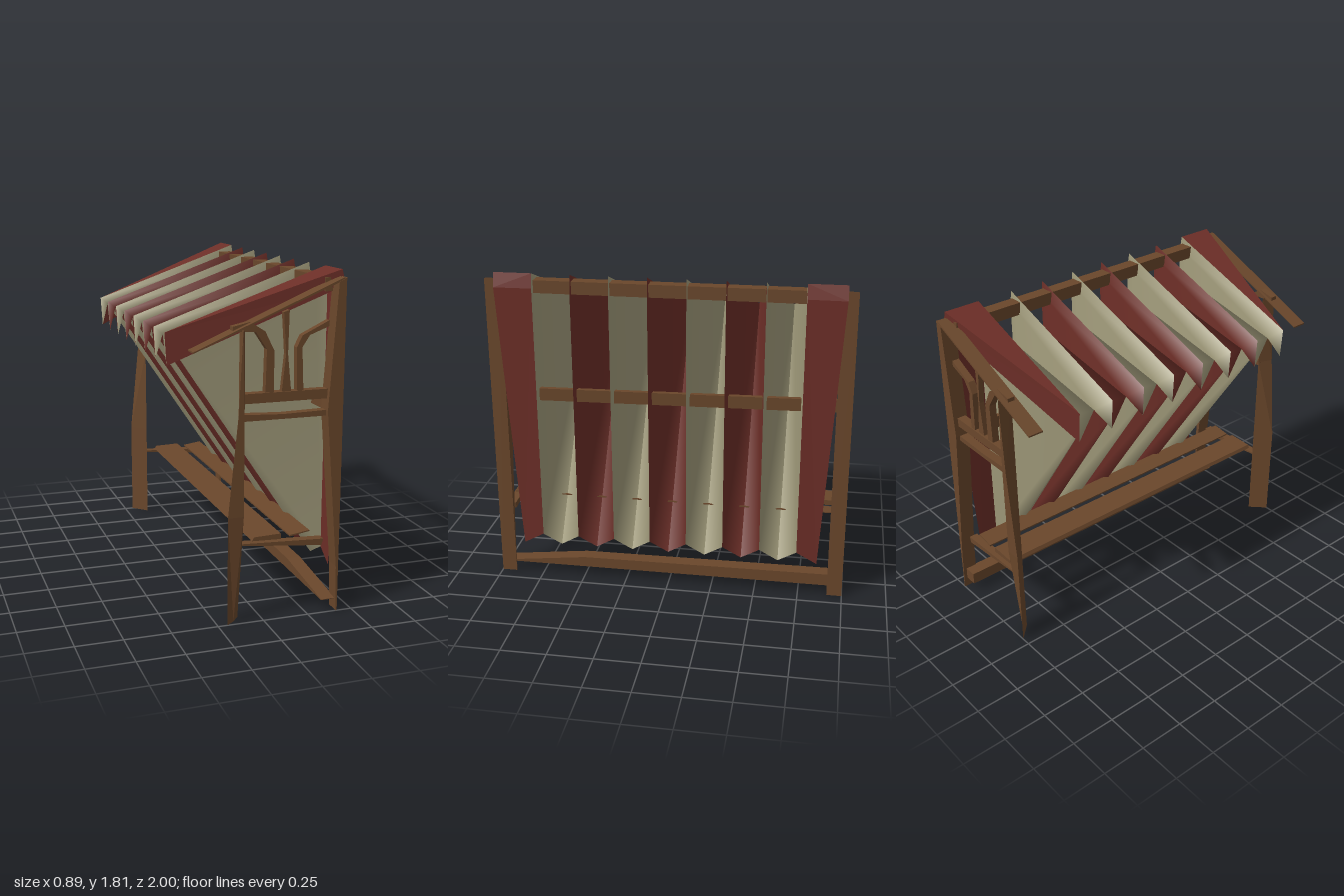
import * as THREE from 'three';

const mat = (color, flatShading) => new THREE.MeshStandardMaterial({ color, flatShading, side: THREE.DoubleSide });

export function createModel() {
  const model = new THREE.Group();
  const wood = mat(0x6a472b, true);
  const red = mat(0x6c2e27, false);
  const redFlat = mat(0x6c2e27, true);
  const cream = mat(0xa09a7a, false);

  const add = (name, geometry, material) => {
    const mesh = new THREE.Mesh(geometry, material);
    mesh.name = name;
    model.add(mesh);
    return mesh;
  };
  const facets = (points, faces) => {
    const g = new THREE.BufferGeometry();
    g.setAttribute('position', new THREE.Float32BufferAttribute(points.flat(), 3));
    g.setIndex(faces.flat());
    g.computeVertexNormals();
    return g;
  };
  const box = (name, x0, x1, y0, y1, z0, z1) => {
    const g = new THREE.BoxGeometry(x1 - x0, y1 - y0, Math.abs(z1 - z0));
    g.translate((x0 + x1) / 2, (y0 + y1) / 2, (z0 + z1) / 2);
    return add(name, g, wood);
  };
  // flat outline in x and y, given a thickness along z
  const board = (name, outline, z, depth) => {
    const shape = new THREE.Shape(outline.map(([x, y]) => new THREE.Vector2(x, y)));
    const g = new THREE.ExtrudeGeometry(shape, { depth, bevelEnabled: false });
    g.translate(0, 0, z - depth / 2);
    return add(name, g, wood);
  };
  // joins rings of equal length, with both ends capped
  const loft = (name, rings) => {
    const n = rings[0].length, faces = [];
    for (let r = 0; r < rings.length - 1; r++)
      for (let i = 0; i < n; i++) {
        const a = r * n + i, b = r * n + (i + 1) % n;
        faces.push([a, b, b + n], [a, b + n, a + n]);
      }
    const last = (rings.length - 1) * n;
    for (let i = 1; i < n - 1; i++) faces.push([0, i + 1, i], [last, last + i, last + i + 1]);
    return add(name, facets(rings.flat(), faces), wood);
  };
  // rectangular section across a beam that runs along z
  const section = (x0, x1, y0, y1, z) => [[x0, y0, z], [x0, y1, z], [x1, y1, z], [x1, y0, z]];

  // folded cloth strips: raised along both edges, sunk along the middle
  const half = 0.105;
  for (let i = -3; i <= 3; i++) {
    const zc = i * half * 2;
    const points = [];
    const faces = [];
    for (const s of [1, -1]) {
      const ze = zc + s * half, k = points.length;
      points.push([-0.43, 1.475, zc], [0.42, 0.2, zc], [-0.45, 1.5, ze], [0.42, 1.81, ze],
        [0.37, 1.72, ze - s * 0.008], [0.435, 0.265, ze], [-0.44, 1.33, ze], [0.435, 1.72, ze]);
      const [C, D, E, P, R, B, L, Q] = points.slice(k).map((p, j) => k + j);
      const tris = [[E, P, R], [E, R, C], [C, R, B], [C, B, D], [R, P, Q], [R, Q, B], [E, C, L]];
      faces.push(...tris.map(([a, b, c]) => (s > 0 ? [a, b, c] : [a, c, b])));
    }
    add('clothStrip', facets(points, faces), i % 2 ? cream : red);
  }

  // beams running the whole length
  box('ridgeBeam', 0.335, 0.41, 1.7, 1.77, -0.93, 0.93);
  loft('middleRail', [section(0.3, 0.33, 1.08, 1.15, -0.92), section(0.37, 0.4, 1.08, 1.15, 0.92)]);
  loft('groundBeam', [section(0.335, 0.415, 0.06, 0.13, -0.98), section(0.335, 0.415, 0.06, 0.12, 0.5),
    section(0.335, 0.415, 0.06, 0.064, 0.98)]);
  board('seatBoard', [[-0.05, 0.425], [-0.04, 0.445], [0.11, 0.45], [0.11, 0.42]], 0, 1.9);
  board('seatBoard', [[0.16, 0.428], [0.16, 0.436], [0.27, 0.452], [0.27, 0.446]], 0, 1.9);

  for (const s of [1, -1]) {
    // flared cloth at each end
    const zi = s * 0.735, zo = s * 0.945;
    const pts = [[-0.45, 1.5, zi], [0.42, 1.81, zi], [0.42, 1.81, zo], [0.44, 1.73, zo],
      [-0.44, 1.33, zi], [0.435, 0.265, zi], [0.43, 0.2, s * 0.85], [0.435, 1.73, zi]];
    const tris = [[0, 2, 1], [0, 4, 3], [0, 3, 2], [1, 2, 3], [1, 3, 7], [7, 3, 6], [7, 6, 5]];
    add('endCloth', facets(pts, tris.map(([a, b, c]) => (s > 0 ? [a, b, c] : [a, c, b]))), redFlat);

    // short post, narrowing to its top and to a thin diagonal foot
    const ring = (y, xa, xc, zc) => [[xa, y, s], [-0.115, y, s * 0.915], [xc, y, s * zc]];
    loft('shortPost', [ring(0, -0.2, -0.155, 0.965), ring(0.58, -0.2, -0.115, 1),
      ring(1.1, -0.147, -0.115, 1), ring(1.53, -0.125, -0.115, 0.99)]);

    // tall post, thin at the foot
    board('tallPost', [[0.412, 0], [0.418, 0], [0.42, 1.775], [0.38, 1.75], [0.335, 1.1], [0.405, 0.25]],
      s * 0.9575, 0.085);

    // sloping rafter
    board('rafter', [[-0.38, 1.432], [0.41, 1.763], [0.41, 1.775], [-0.38, 1.44]], s * 0.955, 0.085);

    // rails between the posts
    box('upperRail', -0.12, 0.345, 1.16, 1.21, s * 0.925, s * 0.975);
    board('lowerRail', [[-0.12, 1.07], [0.345, 1.07], [0.345, 1.1], [0.1, 1.095], [-0.12, 1.105]], s * 0.95, 0.05);

    // curved braces and centre spindle
    board('curvedBrace', [[0.005, 1.21], [0.05, 1.21], [0.05, 1.42], [0, 1.52], [-0.08, 1.57],
      [-0.17, 1.55], [-0.17, 1.525], [-0.05, 1.52], [0.01, 1.43]], s * 0.95, 0.04);
    board('curvedBrace', [[0.175, 1.21], [0.21, 1.21], [0.2, 1.43], [0.24, 1.49], [0.345, 1.53],
      [0.345, 1.56], [0.2, 1.49], [0.17, 1.43]], s * 0.95, 0.04);
    board('spindle', [[0.095, 1.21], [0.145, 1.21], [0.125, 1.4], [0.13, 1.62], [0.1, 1.61], [0.115, 1.4]],
      s * 0.95, 0.03);

    // wedge carrying the seat
    board('seatSupport', [[-0.12, 0.415], [0.33, 0.37], [0.34, 0.405], [-0.12, 0.425]], s * 0.95, 0.05);
  }
  return model;
}
